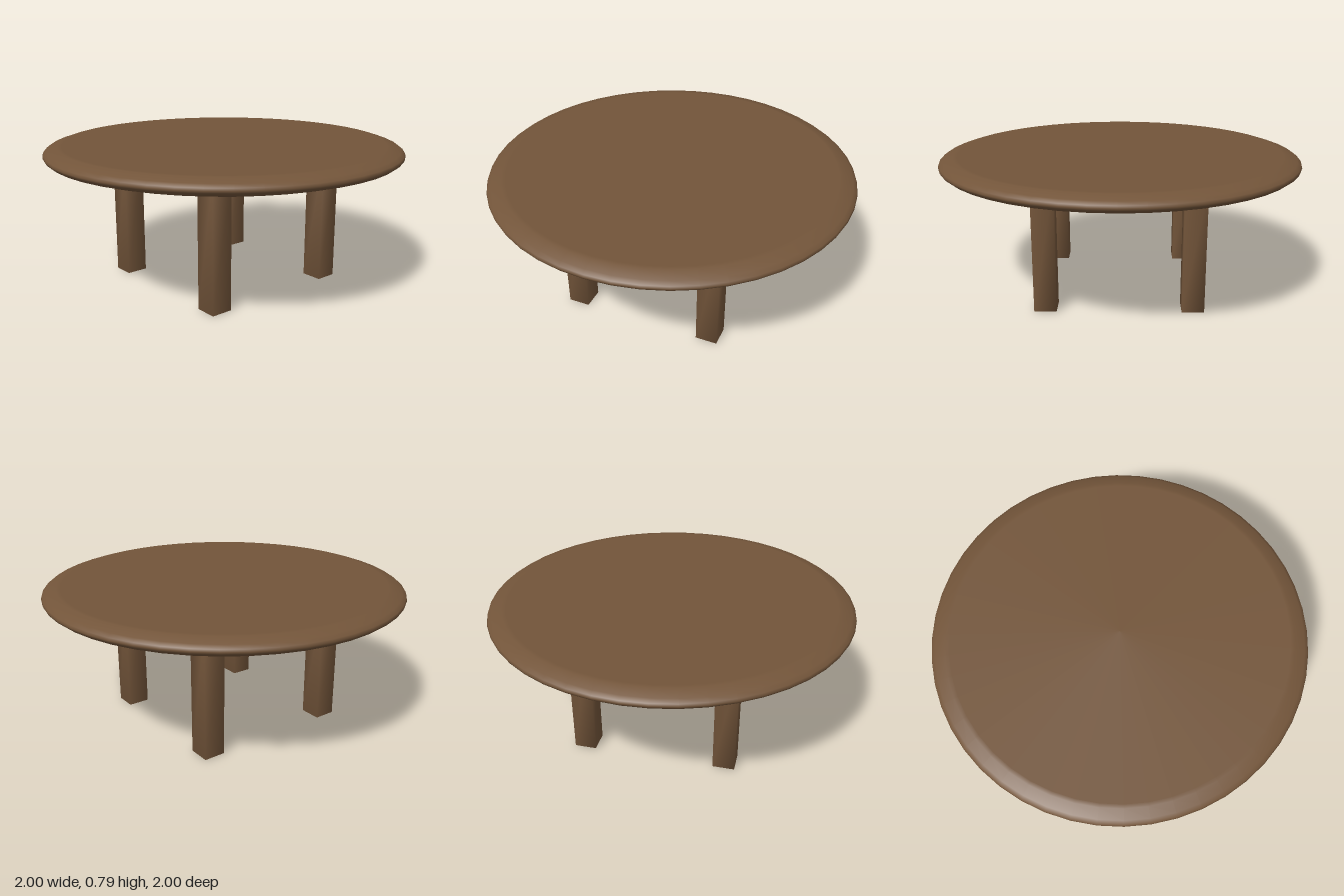
import * as THREE from 'three';
import { mergeVertices } from 'three/addons/utils/BufferGeometryUtils.js';

// Box whose corners share normals, for a softly shaded look
function softBox(w, h, d) {
  const box = new THREE.BoxGeometry(w, h, d);
  box.deleteAttribute('normal');
  box.deleteAttribute('uv');
  const geometry = mergeVertices(box);
  geometry.computeVertexNormals();
  return geometry;
}

export function createModel() {
  const table = new THREE.Group();
  table.name = 'roundTable';
  const wood = new THREE.MeshStandardMaterial({ color: 0x73553a });
  wood.name = 'brown wood';

  // Round top with a bullnose edge, profile from underside to upper face
  const profile = [
    [0, 0.70], [0.90, 0.70], [0.92, 0.70], [0.975, 0.717], [0.995, 0.733],
    [1, 0.745], [0.995, 0.757], [0.975, 0.772], [0.92, 0.79], [0.90, 0.79], [0, 0.79],
  ].map(([r, y]) => new THREE.Vector2(r, y));
  const top = new THREE.Mesh(new THREE.LatheGeometry(profile, 48), wood);
  top.name = 'tableTop';
  table.add(top);

  // Four square legs
  const legHeight = 0.70;
  const legGeometry = softBox(0.12, legHeight, 0.12);
  for (const [x, sideX] of [[1, 'Left'], [-1, 'Right']]) {
    for (const [z, sideZ] of [[1, 'front'], [-1, 'back']]) {
      const leg = new THREE.Mesh(legGeometry, wood);
      leg.name = `${sideZ}${sideX}Leg`;
      leg.position.set(x * 0.395, legHeight / 2, z * 0.395);
      table.add(leg);
    }
  }
  return table;
}
